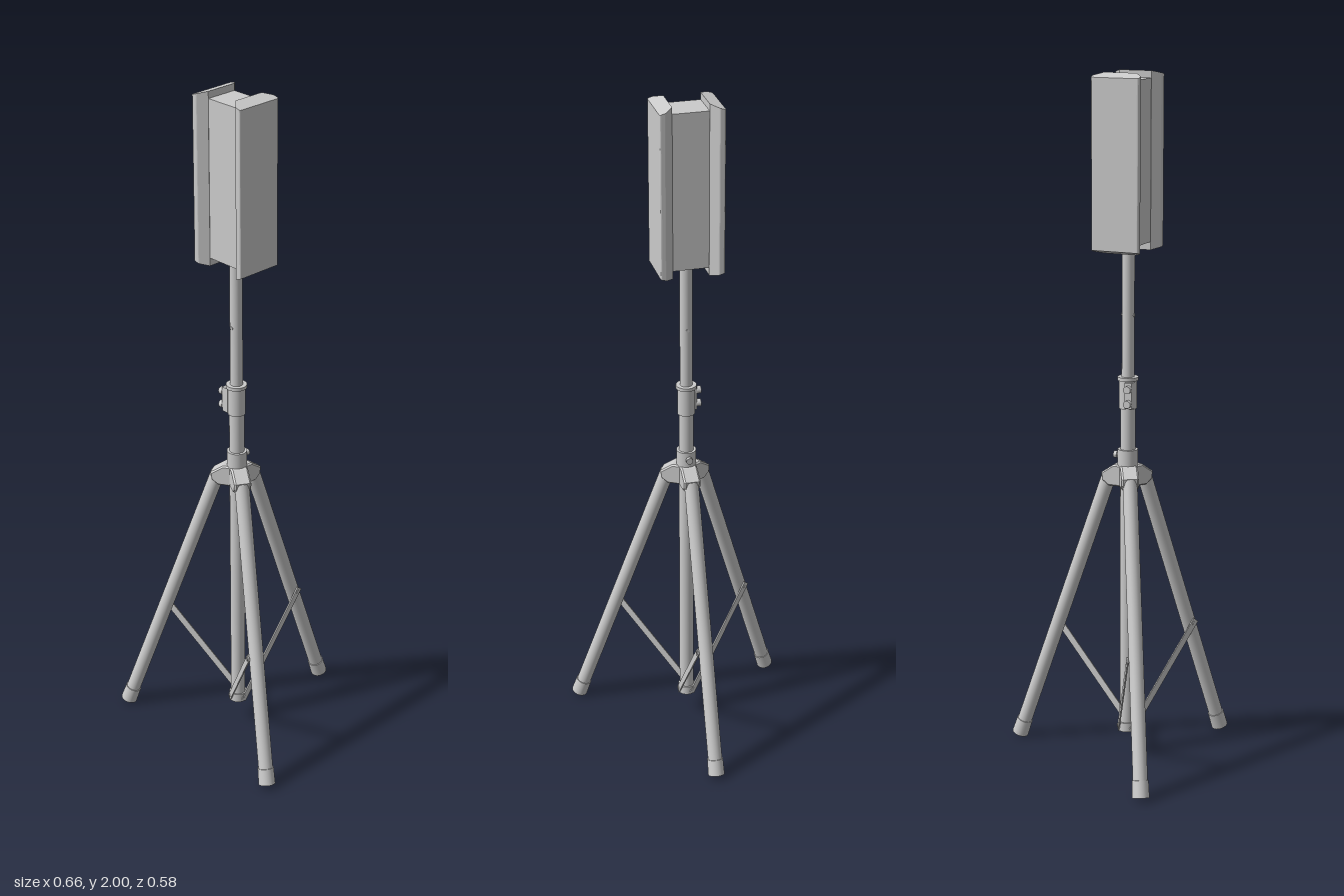
import * as THREE from 'three';

export function createModel() {
  const model = new THREE.Group();
  const stand = new THREE.Group();
  stand.name = 'stand';
  stand.position.z = 0.086; // the mast stands a little forward of the centre
  model.add(stand);

  const mat = new THREE.MeshStandardMaterial({ color: 0xcccccc });
  const flat = new THREE.MeshStandardMaterial({ color: 0xcccccc, flatShading: true });
  const V = (x, y, z) => new THREE.Vector3(x, y, z);

  function add(parent, name, geometry, material = mat) {
    const mesh = new THREE.Mesh(geometry, material);
    mesh.name = name;
    parent.add(mesh);
    return mesh;
  }

  // Cylinder between two points
  function rod(parent, name, a, b, ra, rb = ra, sides = 24) {
    const dir = b.clone().sub(a);
    const mesh = add(parent, name, new THREE.CylinderGeometry(rb, ra, dir.length(), sides));
    mesh.position.copy(a).add(b).multiplyScalar(0.5);
    mesh.quaternion.setFromUnitVectors(V(0, 1, 0), dir.normalize());
    return mesh;
  }

  // Mast: stacked tubes and collars
  const tube = (name, y0, y1, r0, r1 = r0) => rod(stand, name, V(0, y0, 0), V(0, y1, 0), r0, r1, 32);
  tube('lowerTube', 0.08, 1.06, 0.0215);
  tube('upperTube', 1.04, 1.53, 0.018);
  tube('hubCollar', 0.83, 0.93, 0.029);
  tube('braceCollar', 0.075, 0.102, 0.026);
  tube('clampSleeve', 1.05, 1.135, 0.0255);
  tube('clampRim', 1.132, 1.142, 0.03);

  // Clamp ears with two tightening knobs
  const ear = add(stand, 'clampEar', new THREE.BoxGeometry(0.022, 0.075, 0.022));
  ear.position.set(-0.022, 1.092, 0.014);
  for (const y of [1.07, 1.112]) {
    rod(stand, 'clampBolt', V(-0.02, y, 0.016), V(-0.038, y, 0.016), 0.006, 0.006, 12);
    rod(stand, 'clampKnob', V(-0.034, y, 0.016), V(-0.047, y, 0.016), 0.011, 0.011, 16);
  }

  // Locking knob behind the hub, and the height pin through the upper tube
  rod(stand, 'hubBolt', V(0, 0.91, -0.02), V(0, 0.91, -0.037), 0.005, 0.005, 12);
  rod(stand, 'hubKnob', V(0, 0.91, -0.032), V(0, 0.91, -0.042), 0.01, 0.01, 16);
  rod(stand, 'heightPin', V(0, 1.32, -0.0195), V(0, 1.32, 0.0195), 0.005, 0.005, 12);

  // Hub arm: side profile (distance from mast, height) extruded across its width
  const armShape = new THREE.Shape([
    [0, 0.825], [0.05, 0.825], [0.068, 0.838], [0.07, 0.856], [0.035, 0.88], [0, 0.88],
  ].map(([r, y]) => new THREE.Vector2(r, y)));
  const armGeometry = new THREE.ExtrudeGeometry(armShape, {
    depth: 0.04, bevelEnabled: true, bevelSize: 0.004, bevelThickness: 0.005, bevelSegments: 1,
  });
  armGeometry.translate(0, 0, -0.02).rotateY(Math.PI / 2);

  // Three legs, each with a rubber foot, a hub arm and a flat brace on one side
  const legTop = V(0, 0.85, -0.057), legEnd = V(0, 0.008, -0.352);
  for (let i = 0; i < 3; i++) {
    const leg = new THREE.Group();
    leg.name = 'leg';
    leg.rotation.y = (i * Math.PI * 2) / 3;
    stand.add(leg);

    add(leg, 'hubArm', armGeometry, flat);
    rod(leg, 'legTube', legEnd.clone().lerp(legTop, 0.02), legTop, 0.0212);
    rod(leg, 'foot', legEnd, legEnd.clone().lerp(legTop, 0.055), 0.0245, 0.0235);

    const low = V(0.025, 0.085, -0.002), high = V(0.025, 0.37, -0.23);
    const dir = high.clone().sub(low);
    const brace = add(leg, 'brace', new THREE.BoxGeometry(0.004, dir.length() + 0.015, 0.02));
    brace.position.copy(low).add(high).multiplyScalar(0.5);
    brace.quaternion.setFromUnitVectors(V(0, 1, 0), dir.normalize());
    rod(leg, 'upperRivet', V(0, 0.365, -0.227), V(0.029, 0.365, -0.227), 0.006, 0.006, 12);
    rod(leg, 'lowerRivet', V(0, 0.089, -0.003), V(0.029, 0.089, -0.003), 0.006, 0.006, 12);
  }

  // Head: plain box between two flared side panels
  const head = new THREE.Group();
  head.name = 'head';
  head.position.set(-0.002, 0, -0.002);
  stand.add(head);
  add(head, 'headBody', new THREE.BoxGeometry(0.106, 0.457, 0.095)).position.y = 1.7515;

  // Panel plan section with rounded outer corners; its ends slope down outwards
  const panelShape = new THREE.Shape();
  panelShape.moveTo(0.052, -0.048);
  panelShape.lineTo(0.073, -0.069);
  panelShape.quadraticCurveTo(0.075, -0.071, 0.078, -0.071);
  panelShape.lineTo(0.087, -0.071);
  panelShape.quadraticCurveTo(0.092, -0.071, 0.092, -0.066);
  panelShape.lineTo(0.092, 0.066);
  panelShape.quadraticCurveTo(0.092, 0.071, 0.087, 0.071);
  panelShape.lineTo(0.078, 0.071);
  panelShape.quadraticCurveTo(0.075, 0.071, 0.073, 0.069);
  panelShape.lineTo(0.052, 0.048);
  panelShape.closePath();
  const panelGeometry = new THREE.ExtrudeGeometry(panelShape, { depth: 0.5, bevelEnabled: false, curveSegments: 4 });
  panelGeometry.translate(0, 0, -0.25).rotateX(-Math.PI / 2);
  const p = panelGeometry.attributes.position;
  for (let i = 0; i < p.count; i++) {
    const drop = (p.getX(i) - 0.052) * 0.3;
    p.setY(i, p.getY(i) - Math.sign(p.getY(i)) * drop);
  }
  panelGeometry.computeVertexNormals();
  for (const [name, turn] of [['leftPanel', 0], ['rightPanel', Math.PI]]) {
    const panel = add(head, name, panelGeometry);
    panel.position.y = 1.75;
    panel.rotation.y = turn;
  }

  return model;
}
